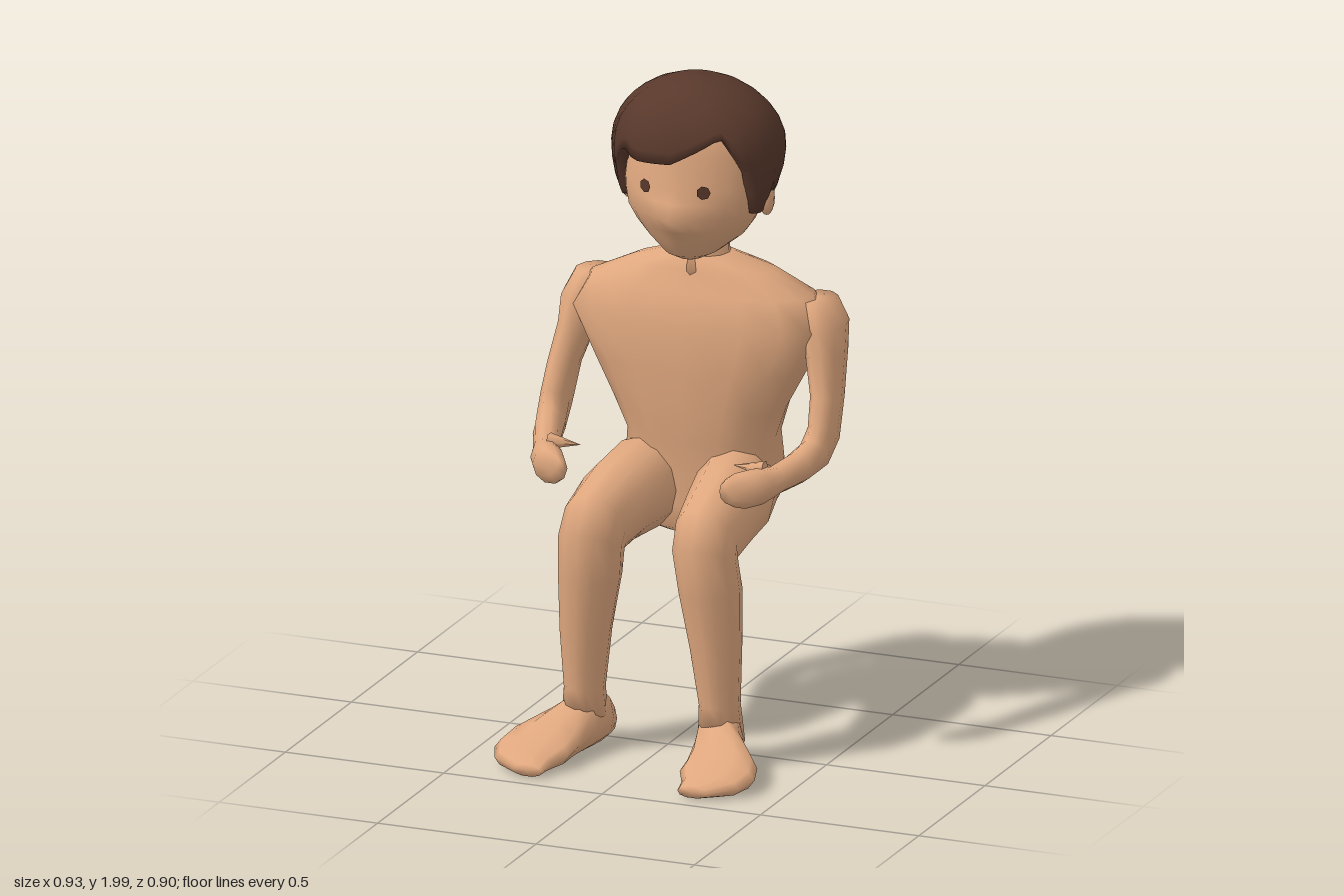
import * as THREE from 'three';

const rad = THREE.MathUtils.degToRad;

// Smooth loft through elliptical rings [x, y, z, halfWidth, halfDepth, tiltDegrees].
// Tilt 0 travels downwards, tilt 90 travels forwards. side = -1 mirrors in x.
function loft(rings, { sides = 12, power = 1, side = 1, shape } = {}) {
  const pos = [], idx = [];
  const soft = v => Math.sign(v) * Math.abs(v) ** power;
  for (const [x, y, z, ru, rv, tilt = 0] of rings) {
    const t = rad(tilt);
    for (let j = 0; j < sides; j++) {
      const a = (j / sides) * Math.PI * 2;
      const u = soft(Math.cos(a)) * ru, v = soft(Math.sin(a)) * rv;
      pos.push(x * side + u, y + v * Math.sin(t), z + v * Math.cos(t));
    }
  }
  const n = rings.length, last = (n - 1) * sides, c = n * sides;
  const end = rings[n - 1];
  pos.push(rings[0][0] * side, rings[0][1], rings[0][2], end[0] * side, end[1], end[2]);
  for (let j = 0; j < sides; j++) {
    const k = (j + 1) % sides;
    for (let i = 0; i < n - 1; i++) {
      const a = i * sides + j, b = i * sides + k;
      idx.push(a, b, a + sides, b, b + sides, a + sides);
    }
    idx.push(c, k, j, c + 1, last + j, last + k);
  }
  if (shape) {
    for (let i = 0; i < pos.length; i += 3) pos[i + 2] += shape(pos[i], pos[i + 1], pos[i + 2]);
  }
  const g = new THREE.BufferGeometry();
  g.setAttribute('position', new THREE.Float32BufferAttribute(pos, 3));
  g.setIndex(idx);
  g.computeVertexNormals();
  return g;
}

// Hairline height by angle around the head (0 = front, + = the figure's left)
const hairline = [[-180, 1.6], [-100, 1.61], [-90, 1.67], [-83, 1.61], [-68, 1.63], [-60, 1.73],
  [-48, 1.78], [-38, 1.81], [-28, 1.78], [0, 1.785], [15, 1.82], [35, 1.87], [45, 1.81],
  [55, 1.75], [65, 1.62], [83, 1.61], [90, 1.67], [100, 1.61], [180, 1.6]];

function hairBottom(deg) {
  const i = Math.max(1, hairline.findIndex(p => p[0] >= deg));
  const [a, ya] = hairline[i - 1], [b, yb] = hairline[i];
  return ya + (yb - ya) * (deg - a) / (b - a);
}

// Lumpy cap of hair that ends on the hairline, with an inward lip
function hairGeometry() {
  const cols = 60, rows = 10, pos = [], idx = [];
  for (let i = 0; i <= rows + 1; i++) {
    for (let j = 0; j < cols; j++) {
      const deg = -180 + (j / cols) * 360, phi = rad(deg);
      const f = Math.min(1, i / rows);
      const y = 2 + (hairBottom(deg) - 2) * f ** 1.6;
      let r = y > 1.79
        ? Math.sqrt(Math.max(0, 1 - ((y - 1.79) / 0.21) ** 2))
        : 1 - 0.2 * ((1.79 - y) / 0.19) ** 2;
      r *= 1 + 0.025 * Math.sin(5 * phi + 9 * y) * f;
      if (i > rows) r *= 0.86;
      const c = Math.cos(phi);
      pos.push(0.26 * r * Math.sin(phi), y, -0.225 + (c > 0 ? 0.215 : 0.225) * r * c);
    }
  }
  for (let i = 0; i <= rows; i++) {
    for (let j = 0; j < cols; j++) {
      const k = (j + 1) % cols, a = i * cols + j, b = i * cols + k;
      idx.push(a, a + cols, b, b, a + cols, b + cols);
    }
  }
  const g = new THREE.BufferGeometry();
  g.setAttribute('position', new THREE.Float32BufferAttribute(pos, 3));
  g.setIndex(idx);
  g.computeVertexNormals();
  return g;
}

export function createModel() {
  const model = new THREE.Group();
  model.name = 'seatedFigure';
  const skin = new THREE.MeshStandardMaterial({ name: 'skin', color: 0xdfa77e });
  const brown = new THREE.MeshStandardMaterial({ name: 'brownHair', color: 0x58382b, side: THREE.DoubleSide });

  const add = (name, geometry, material = skin) => {
    const mesh = new THREE.Mesh(geometry, material);
    mesh.name = name;
    model.add(mesh);
    return mesh;
  };

  // Torso, from the neck base down to the seat
  add('torso', loft([
    [0, 1.455, -0.25, 0.09, 0.07], [0, 1.41, -0.27, 0.22, 0.1], [0, 1.35, -0.265, 0.35, 0.125],
    [0, 1.26, -0.25, 0.4, 0.15], [0, 1.12, -0.255, 0.33, 0.155], [0, 1.0, -0.255, 0.265, 0.155],
    [0, 0.9, -0.275, 0.225, 0.165], [0, 0.8, -0.28, 0.235, 0.16], [0, 0.7, -0.27, 0.225, 0.15],
    [0, 0.63, -0.23, 0.17, 0.1], [0, 0.61, -0.22, 0.1, 0.06],
  ], { sides: 16, power: 0.8 }));

  add('neck', loft([
    [0, 1.57, -0.26, 0.085, 0.08], [0, 1.46, -0.255, 0.085, 0.075], [0, 1.38, -0.26, 0.13, 0.1],
  ]));

  // Head with a pulled-out nose
  const nose = (x, y, z) => z > -0.2 ? 0.04 * Math.exp(-(x * x) / 0.003 - (y - 1.615) ** 2 / 0.002) : 0;
  add('head', loft([
    [0, 1.94, -0.225, 0.1, 0.1], [0, 1.88, -0.225, 0.17, 0.16], [0, 1.8, -0.22, 0.205, 0.175],
    [0, 1.7, -0.215, 0.215, 0.18], [0, 1.66, -0.21, 0.21, 0.18], [0, 1.615, -0.205, 0.2, 0.175],
    [0, 1.57, -0.21, 0.175, 0.165], [0, 1.53, -0.215, 0.145, 0.15], [0, 1.48, -0.19, 0.08, 0.1],
    [0, 1.46, -0.18, 0.04, 0.05],
  ], { sides: 24, shape: nose }));

  add('hair', hairGeometry(), brown);

  for (const side of [1, -1]) {
    const label = side > 0 ? 'left' : 'right';

    // Eye and ear
    const eye = add(label + 'Eye', new THREE.CircleGeometry(0.021, 7), brown);
    eye.position.set(side * 0.092, 1.7, -0.046);
    eye.rotation.y = side * 0.38;
    const ear = add(label + 'Ear', new THREE.SphereGeometry(1, 10, 8));
    ear.scale.set(0.022, 0.05, 0.03);
    ear.position.set(side * 0.218, 1.645, -0.225);

    // Bent arm ending in a mitten hand
    add(label + 'Arm', loft([
      [0.35, 1.34, -0.29, 0.06, 0.07], [0.37, 1.27, -0.28, 0.075, 0.1], [0.39, 1.19, -0.265, 0.057, 0.09],
      [0.415, 1.07, -0.21, 0.045, 0.075, 10], [0.422, 0.97, -0.165, 0.042, 0.078, 32],
      [0.415, 0.92, -0.11, 0.045, 0.06, 60], [0.395, 0.9, -0.03, 0.045, 0.048, 82],
      [0.36, 0.885, 0.06, 0.042, 0.042, 90], [0.33, 0.88, 0.12, 0.055, 0.055, 90],
      [0.3, 0.88, 0.175, 0.055, 0.055, 90], [0.27, 0.88, 0.2, 0.025, 0.035, 90],
    ], { sides: 10, side }));
    const thumb = add(label + 'Thumb', new THREE.ConeGeometry(0.025, 0.1, 6));
    thumb.position.set(side * 0.29, 0.925, 0.085);
    thumb.rotation.z = side * Math.PI / 2;

    // Thigh, knee and shin in one sweep
    add(label + 'Leg', loft([
      [0.12, 0.75, -0.3, 0.11, 0.12, 90], [0.145, 0.75, -0.15, 0.125, 0.14, 90],
      [0.165, 0.735, 0, 0.115, 0.125, 90], [0.175, 0.7, 0.13, 0.095, 0.13, 60],
      [0.18, 0.655, 0.15, 0.095, 0.12, 25], [0.19, 0.55, 0.135, 0.093, 0.1],
      [0.205, 0.38, 0.13, 0.075, 0.088], [0.213, 0.2, 0.12, 0.058, 0.077, 5],
      [0.215, 0.1, 0.11, 0.065, 0.1, 30],
    ], { side }));

    // Foot turned outwards
    add(label + 'Foot', loft([
      [0.2, 0.07, 0.003, 0.04, 0.05, 90], [0.205, 0.1, 0.07, 0.062, 0.085, 90],
      [0.23, 0.09, 0.17, 0.075, 0.078, 90], [0.28, 0.065, 0.26, 0.11, 0.052, 90],
      [0.292, 0.052, 0.33, 0.118, 0.04, 90], [0.295, 0.04, 0.39, 0.09, 0.03, 90],
      [0.26, 0.033, 0.445, 0.045, 0.018, 90],
    ], { sides: 10, power: 0.85, side }));
  }

  // Rest the soles on the ground
  const box = new THREE.Box3().setFromObject(model);
  for (const part of model.children) part.position.y -= box.min.y;
  return model;
}
